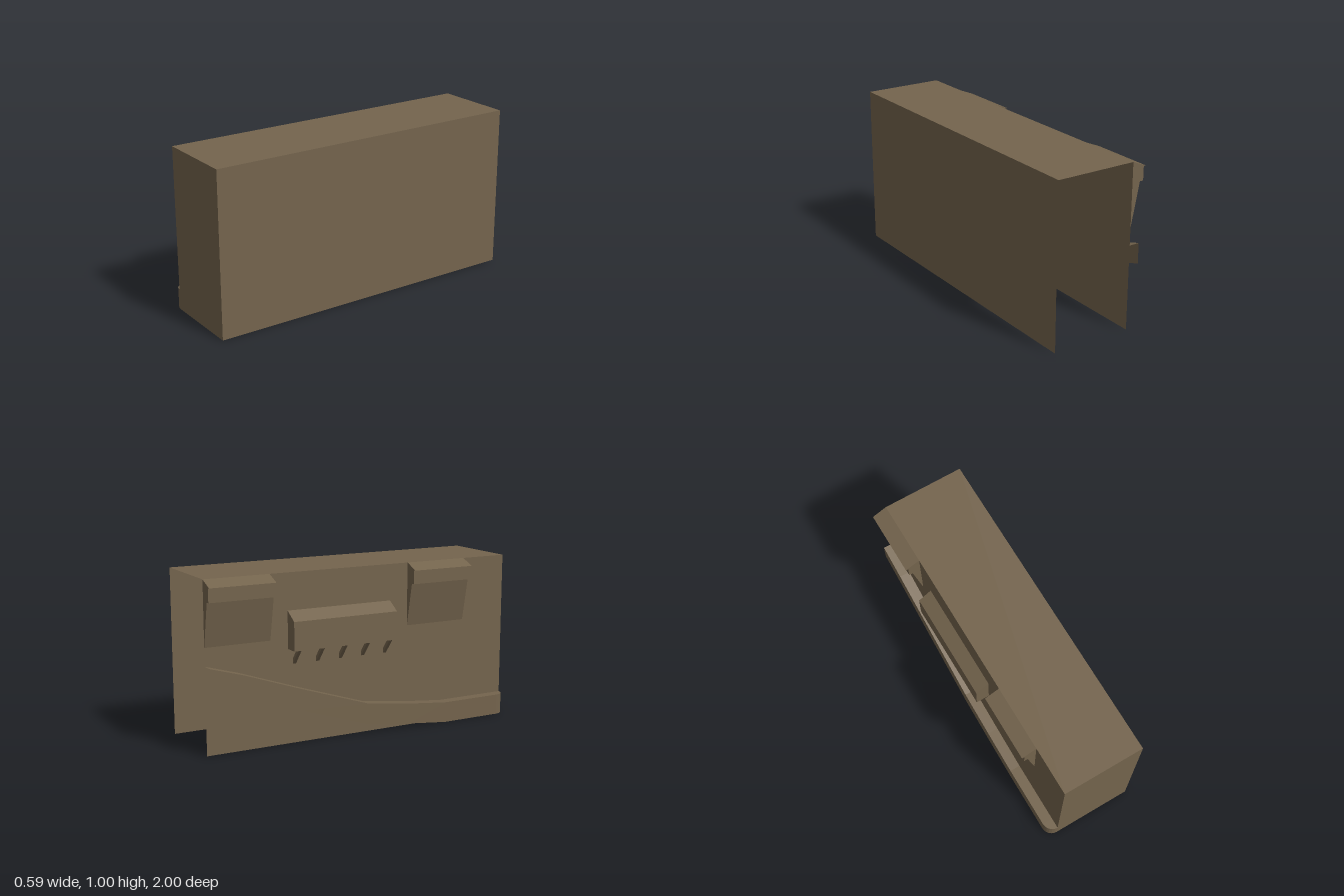
import * as THREE from 'three';

const X0 = -0.205, X1 = 0.295, OUT = -0.27;

const brown = new THREE.MeshStandardMaterial({ color: 0x74644d, side: THREE.DoubleSide });
brown.name = 'brown';

function add(group, name, geometry) {
  const mesh = new THREE.Mesh(geometry, brown);
  mesh.name = name;
  group.add(mesh);
  return mesh;
}

// Flat-shaded strip of quads between two equally long rows of points
function ribbon(rowA, rowB) {
  const pos = [];
  for (let i = 0; i < rowA.length - 1; i++) {
    const [a, b, c, d] = [rowA[i], rowA[i + 1], rowB[i + 1], rowB[i]];
    pos.push(...a, ...b, ...c, ...a, ...c, ...d);
  }
  const g = new THREE.BufferGeometry();
  g.setAttribute('position', new THREE.Float32BufferAttribute(pos, 3));
  g.computeVertexNormals();
  return g;
}

// Side profile in x/y, extruded along z
function profile(points, z0, z1) {
  const shape = new THREE.Shape(points.map(p => new THREE.Vector2(...p)));
  return new THREE.ExtrudeGeometry(shape, { depth: z1 - z0, bevelEnabled: false }).translate(0, 0, z0);
}

// Top height of the sloping rail along z
const heights = [[-1, 0.515], [-0.8, 0.457], [-0.43, 0.33], [0, 0.19], [0.28, 0.152], [0.55, 0.125], [1, 0.125]];
function railTop(z) {
  let i = 0;
  while (i < heights.length - 2 && z > heights[i + 1][0]) i++;
  const [[z0, h0], [z1, h1]] = [heights[i], heights[i + 1]];
  return h0 + (h1 - h0) * (z - z0) / (z1 - z0);
}

export function createModel() {
  const model = new THREE.Group();
  model.name = 'wallCover';

  // Thin shell, open at the bottom and the back end
  add(model, 'leftWall', ribbon([[X1, 0, 1], [X1, 0, -1]], [[X1, 1, 1], [X1, 1, -1]]));
  add(model, 'rightWall', ribbon([[X0, 0, -1], [X0, 0, 1]], [[X0, 1, -1], [X0, 1, 1]]));
  add(model, 'frontWall', ribbon([[X0, 0, 1], [X1, 0, 1]], [[X0, 1, 1], [X1, 1, 1]]));
  add(model, 'topPanel', ribbon([[X0, 1, 1], [X1, 1, 1]], [[X0, 1, -1], [X1, 1, -1]]));

  // Overhanging brackets with tapered feet
  const bracket = [[X0, 1], [-0.295, 0.963], [-0.28, 0.963], [-0.28, 0.88], [-0.257, 0.88], [X0, 0.62]];
  for (const z of [-1, 0.305]) add(model, 'bracket', profile(bracket, z, z + 0.4));

  // Middle box with a sloping lid
  const box = [[X0, 0.56], [X0, 0.782], [-0.287, 0.73], [-0.287, 0.56]];
  add(model, 'middleBox', profile(box, -0.49, 0.185));

  // Slanted struts beneath the middle box
  const strut = [[X0, 0.47], [X0, 0.5], [-0.252, 0.56], [-0.278, 0.56]];
  for (let i = 0; i < 5; i++) {
    const z = -0.45 + i * 0.15;
    add(model, 'strut', profile(strut, z - 0.01, z + 0.01));
  }

  // Hollow sloping rail with a rounded front corner, open below and behind
  const r = X0 - OUT;
  const path = heights.slice(0, -1).map(([z]) => [OUT, z]);
  for (let i = 0; i <= 6; i++) {
    const a = i / 6 * Math.PI / 2;
    path.push([X0 - r * Math.cos(a), 1 - r + r * Math.sin(a)]);
  }
  const upper = path.map(([x, z]) => [x, railTop(z), z]);
  const lower = upper.map(([x, y, z]) => [x, y - 0.125, z]);
  const inner = upper.map(([, y, z]) => [X0, y, z]);
  add(model, 'railSide', ribbon(lower, upper));
  add(model, 'railTop', ribbon(upper, inner));

  return model;
}
